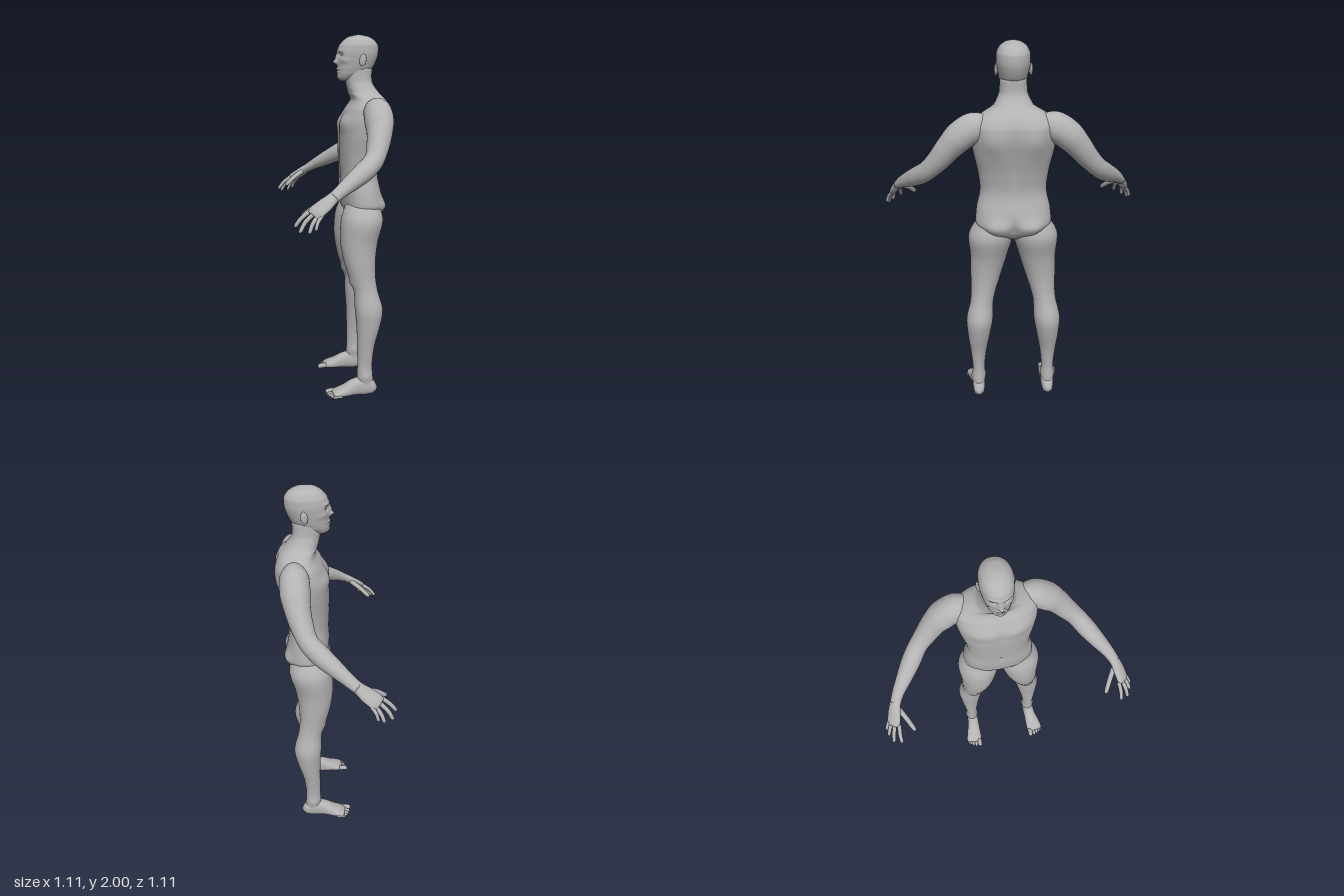
import * as THREE from 'three';

const skin = new THREE.MeshStandardMaterial({ color: 0xb3b3b3 });
skin.name = 'grey skin';

// Smooth skin over elliptical sections [x, y, z, halfWidth, halfDepth].
// opts: side = width direction of the sections, level = keep sections horizontal,
// square = exponent below 1 makes sections boxier, bumps = [x,y,z, rx,ry,rz, amount],
// mirror = -1 builds the opposite side.
function loft(name, stations, opts = {}) {
  const { side = [1, 0, 0], level = false, square = 1, bumps = [], mirror = 1, seg = 32, steps = 6 } = opts;
  const path = new THREE.CatmullRomCurve3(stations.map(s => new THREE.Vector3(s[0], s[1], s[2])));
  const sizes = new THREE.CatmullRomCurve3(stations.map(s => new THREE.Vector3(s[3], s[4], 0)));
  const rows = (stations.length - 1) * steps;
  const pos = [], index = [];
  for (let i = -1; i <= rows + 1; i++) {
    const t = THREE.MathUtils.clamp(i / rows, 0, 1);
    const c = path.getPoint(t), size = sizes.getPoint(t), dir = path.getTangent(t);
    const cap = i < 0 || i > rows ? 0 : 1;
    const u = new THREE.Vector3(...side);
    let v;
    if (level) v = new THREE.Vector3(0, 0, dir.y > 0 ? -1 : 1);
    else {
      u.addScaledVector(dir, -u.dot(dir)).normalize();
      v = dir.clone().cross(u);
    }
    for (let j = 0; j < seg; j++) {
      const a = j / seg * Math.PI * 2;
      const power = n => Math.sign(n) * Math.abs(n) ** square;
      const out = u.clone().multiplyScalar(power(Math.cos(a)) * size.x * cap)
        .addScaledVector(v, power(Math.sin(a)) * size.y * cap);
      const p = c.clone().add(out);
      let push = 0;
      if (cap) for (const [x, y, z, rx, ry, rz, amount] of bumps)
        push += amount * Math.exp(-(((Math.abs(p.x) - x) / rx) ** 2) - ((p.y - y) / ry) ** 2 - ((p.z - z) / rz) ** 2);
      p.addScaledVector(out.normalize(), push);
      pos.push(p.x * mirror, Math.max(p.y, 0), p.z);
    }
  }
  for (let i = 0; i < rows + 2; i++) for (let j = 0; j < seg; j++) {
    const k = (j + 1) % seg;
    const a = i * seg + j, b = i * seg + k, c = a + seg, d = b + seg;
    if (mirror > 0) index.push(a, b, c, b, d, c);
    else index.push(a, c, b, b, c, d);
  }
  const geo = new THREE.BufferGeometry();
  geo.setAttribute('position', new THREE.Float32BufferAttribute(pos, 3));
  geo.setIndex(index);
  geo.computeVertexNormals();
  const mesh = new THREE.Mesh(geo, skin);
  mesh.name = name;
  return mesh;
}

// Upright section from height, half width, front z and back z
const slice = ([y, a, front, back]) => [0, y, (front + back) / 2, a, (front - back) / 2];

// Finger or toe with a rounded tip, through three points
function digit(name, base, mid, tip, r, mirror) {
  const at = (p, q, t) => p.map((n, i) => n + (q[i] - n) * t);
  return loft(name, [
    [...base, r, r], [...mid, r * 0.95, r * 0.95], [...at(mid, tip, 0.75), r * 0.85, r * 0.85],
    [...at(mid, tip, 0.93), r * 0.6, r * 0.6], [...tip, r * 0.15, r * 0.15],
  ], { mirror, seg: 12, steps: 3, side: [0.7, -0.2, -0.6] });
}

function ball(name, x, y, z, sx, sy, sz) {
  const mesh = new THREE.Mesh(new THREE.SphereGeometry(1, 20, 14), skin);
  mesh.scale.set(sx, sy, sz);
  mesh.position.set(x, y, z);
  mesh.name = name;
  return mesh;
}

function addTorsoAndHead(body) {
  body.add(loft('torso', [
    [0.985, 0.06, -0.25, -0.35], [1.03, 0.165, -0.205, -0.395], [1.08, 0.198, -0.182, -0.412],
    [1.15, 0.192, -0.175, -0.402], [1.25, 0.172, -0.175, -0.385], [1.35, 0.182, -0.17, -0.4],
    [1.45, 0.203, -0.168, -0.425], [1.53, 0.215, -0.175, -0.442], [1.6, 0.215, -0.205, -0.445],
    [1.65, 0.17, -0.235, -0.425], [1.69, 0.1, -0.22, -0.39], [1.75, 0.071, -0.205, -0.352],
    [1.82, 0.066, -0.2, -0.35],
  ].map(slice), {
    level: true, square: 0.88, seg: 72, steps: 7,
    bumps: [
      [0.09, 1.53, -0.17, 0.07, 0.045, 0.06, 0.012],   // chest
      [0, 1.5, -0.17, 0.014, 0.08, 0.05, -0.008],      // breastbone
      [0, 1.3, -0.17, 0.015, 0.1, 0.05, -0.005],       // midline
      [0, 1.22, -0.17, 0.012, 0.012, 0.05, -0.008],    // navel
      [0, 1.4, -0.42, 0.025, 0.2, 0.06, -0.014],       // spine
      [0.1, 1.53, -0.44, 0.055, 0.08, 0.06, 0.014],    // shoulder blades
      [0.088, 1.055, -0.41, 0.06, 0.06, 0.07, 0.026],  // buttocks
      [0, 1.05, -0.42, 0.014, 0.055, 0.08, -0.03],     // cleft
    ],
  }));
  body.add(loft('head', [
    [1.752, 0.02, -0.18, -0.22], [1.765, 0.042, -0.166, -0.26], [1.79, 0.061, -0.16, -0.32],
    [1.82, 0.071, -0.159, -0.352], [1.86, 0.079, -0.159, -0.372], [1.9, 0.084, -0.157, -0.383],
    [1.94, 0.082, -0.166, -0.383], [1.97, 0.068, -0.19, -0.363], [1.99, 0.042, -0.22, -0.33],
    [1.999, 0.012, -0.26, -0.29],
  ].map(slice), {
    level: true, square: 0.93, seg: 96, steps: 10,
    bumps: [
      [0, 1.853, -0.15, 0.014, 0.012, 0.06, 0.022],    // nose tip
      [0, 1.876, -0.15, 0.011, 0.02, 0.06, 0.012],     // nose bridge
      [0.034, 1.891, -0.165, 0.017, 0.012, 0.04, -0.014], // eye sockets
      [0.03, 1.915, -0.16, 0.03, 0.009, 0.04, 0.005],  // brow
      [0.058, 1.86, -0.19, 0.02, 0.014, 0.03, 0.005],  // cheekbones
      [0, 1.816, -0.16, 0.024, 0.007, 0.04, 0.007],    // upper lip
      [0, 1.809, -0.16, 0.026, 0.003, 0.04, -0.006],   // mouth
      [0, 1.801, -0.16, 0.02, 0.006, 0.04, 0.006],     // lower lip
      [0, 1.774, -0.16, 0.022, 0.012, 0.04, 0.006],    // chin
    ],
  }));
}

function addSide(body, s) {
  const which = s > 0 ? 'left' : 'right';
  const part = name => which + name;

  // Eye and ear
  body.add(ball(part('Eye'), s * 0.034, 1.891, -0.188, 0.014, 0.011, 0.014));
  const ear = ball(part('Ear'), s * 0.085, 1.862, -0.285, 0.008, 0.032, 0.019);
  ear.rotation.set(-0.15, -s * 0.35, 0);
  body.add(ear);

  // Arm from inside the shoulder to the wrist
  body.add(loft(part('Arm'), [
    [0.13, 1.595, -0.34, 0.05, 0.06], [0.205, 1.588, -0.345, 0.075, 0.076], [0.265, 1.548, -0.343, 0.077, 0.076],
    [0.32, 1.49, -0.335, 0.067, 0.067], [0.375, 1.42, -0.315, 0.058, 0.058], [0.43, 1.358, -0.285, 0.051, 0.051],
    [0.475, 1.315, -0.235, 0.052, 0.051], [0.53, 1.27, -0.165, 0.044, 0.044], [0.58, 1.23, -0.1, 0.034, 0.032],
    [0.608, 1.2, -0.055, 0.031, 0.024],
  ], { mirror: s, side: [0.61, -0.2, -0.8] }));

  // Hand
  body.add(loft(part('Palm'), [
    [0.592, 1.218, -0.08, 0.03, 0.025], [0.61, 1.196, -0.048, 0.033, 0.024], [0.625, 1.168, -0.01, 0.042, 0.021],
    [0.637, 1.14, 0.028, 0.044, 0.018], [0.642, 1.124, 0.045, 0.036, 0.012],
  ], { mirror: s, side: [0.61, -0.2, -0.8], seg: 24 }));
  const fingers = [
    ['IndexFinger', [0.612, 1.143, 0.055], [0.618, 1.107, 0.1], [0.618, 1.065, 0.132], 0.0115],
    ['MiddleFinger', [0.635, 1.132, 0.042], [0.652, 1.094, 0.084], [0.663, 1.045, 0.112], 0.0115],
    ['RingFinger', [0.65, 1.126, 0.022], [0.671, 1.088, 0.051], [0.685, 1.045, 0.068], 0.011],
    ['LittleFinger', [0.658, 1.128, 0.002], [0.678, 1.097, 0.026], [0.692, 1.06, 0.038], 0.0095],
    ['Thumb', [0.595, 1.18, -0.02], [0.562, 1.146, 0.036], [0.533, 1.1, 0.09], 0.0145],
  ];
  for (const [name, base, mid, tip, r] of fingers) body.add(digit(part(name), base, mid, tip, r, s));

  // Leg from hip to ankle
  body.add(loft(part('Leg'), [
    [0.1, 1.09, -0.29, 0.085, 0.09], [0.118, 0.99, -0.286, 0.118, 0.117], [0.13, 0.87, -0.269, 0.1, 0.104],
    [0.148, 0.75, -0.273, 0.082, 0.086], [0.162, 0.66, -0.289, 0.067, 0.072], [0.172, 0.6, -0.303, 0.063, 0.067],
    [0.185, 0.5, -0.316, 0.072, 0.074], [0.191, 0.4, -0.316, 0.062, 0.065], [0.195, 0.28, -0.304, 0.044, 0.048],
    [0.196, 0.17, -0.3, 0.034, 0.042], [0.197, 0.1, -0.302, 0.036, 0.045], [0.197, 0.04, -0.305, 0.033, 0.045],
  ], {
    mirror: s, level: true, seg: 40,
    bumps: [
      [0.185, 0.49, -0.39, 0.06, 0.08, 0.05, 0.008],   // calf
      [0.165, 0.65, -0.22, 0.03, 0.03, 0.04, 0.007],   // kneecap
      [0.232, 0.11, -0.3, 0.02, 0.02, 0.02, 0.006],    // outer ankle
      [0.162, 0.12, -0.3, 0.02, 0.02, 0.02, 0.006],    // inner ankle
    ],
  }));

  // Foot
  body.add(loft(part('Foot'), [
    [0.197, 0.03, -0.368, 0.012, 0.014], [0.197, 0.036, -0.348, 0.029, 0.036], [0.197, 0.05, -0.3, 0.036, 0.056],
    [0.2, 0.045, -0.24, 0.038, 0.047], [0.207, 0.031, -0.19, 0.045, 0.033], [0.213, 0.022, -0.145, 0.05, 0.022],
    [0.216, 0.016, -0.116, 0.044, 0.013],
  ], { mirror: s, side: [1, 0, 0], square: 0.85 }));
  [[0.181, -0.078, 0.0155], [0.206, -0.083, 0.011], [0.225, -0.09, 0.0105], [0.242, -0.1, 0.01], [0.256, -0.113, 0.0095]]
    .forEach(([x, z, r], i) => body.add(digit(part('Toe' + (i + 1)),
      [x, r + 0.004, z - 0.05], [x, r + 0.003, z - 0.025], [x, r * 0.8, z], r, s)));
}

export function createModel() {
  const model = new THREE.Group();
  model.name = 'standingFigure';
  const body = new THREE.Group();
  body.name = 'body';
  body.rotation.y = -Math.PI / 4; // the figure is turned to its right
  addTorsoAndHead(body);
  for (const s of [1, -1]) addSide(body, s);
  model.add(body);
  return model;
}
